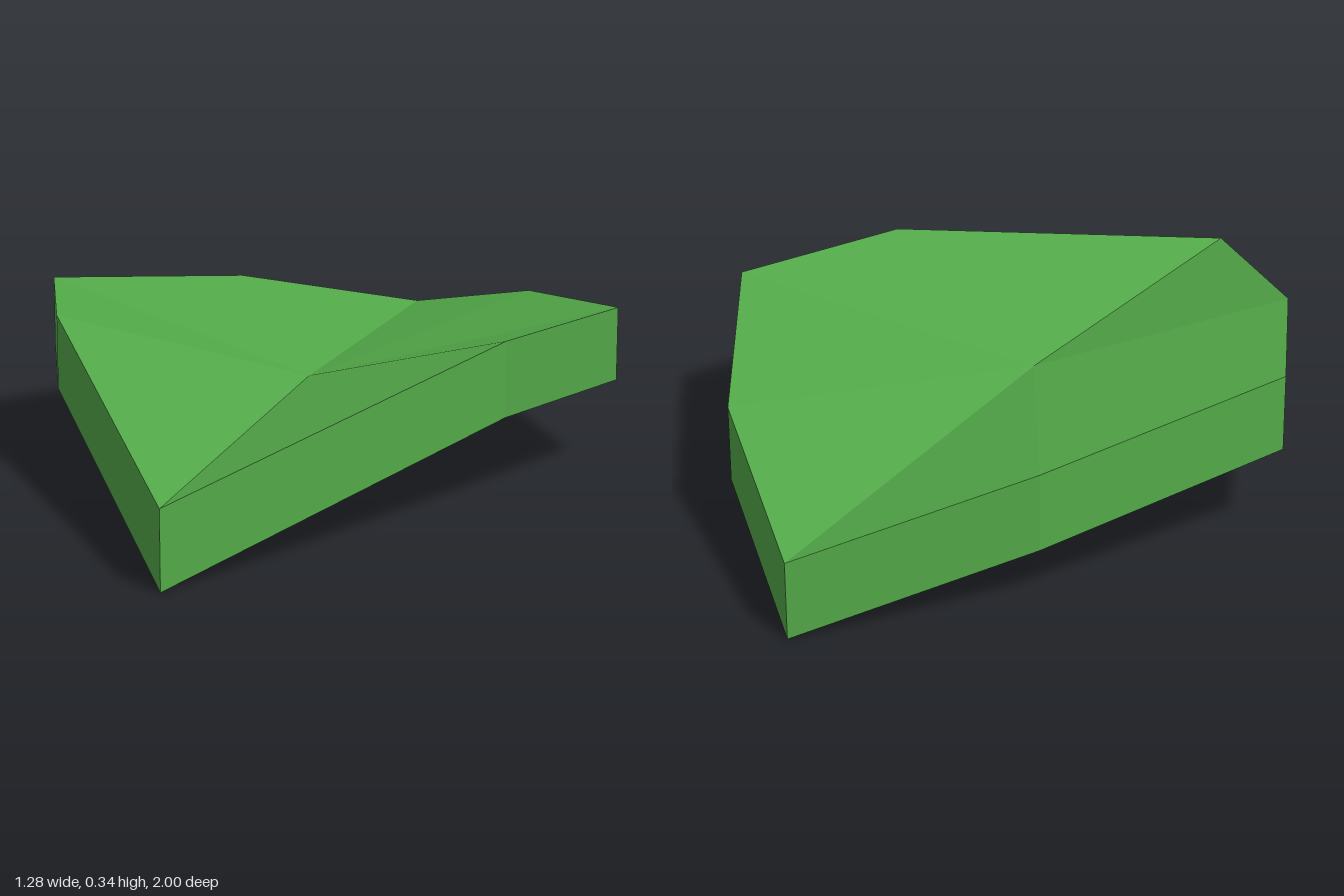
import * as THREE from 'three';

// Folded leaf: a faceted fan around a raised centre, with an even thickness.
export function createModel() {
  const group = new THREE.Group();
  group.name = 'leaf';
  const leafGreen = new THREE.MeshStandardMaterial({ color: 0x52a848, flatShading: true });
  leafGreen.name = 'leafGreen';

  // Underside outline of the left half, from front tip to back tip
  const half = [[0, 0, 1], [0.48, 0.182, 0.25], [0.64, 0.182, -0.15], [0.35, 0.11, -0.65], [0, 0, -1]];
  const mirrored = half.slice(1, -1).reverse().map(([x, y, z]) => [-x, y, z]);
  const rim = [...half, ...mirrored];
  const centre = [0, 0.027, 0];
  const thickness = 0.158;
  const raise = ([x, y, z]) => [x, y + thickness, z];

  const addPart = (name, triangles) => {
    const geometry = new THREE.BufferGeometry();
    geometry.setAttribute('position', new THREE.Float32BufferAttribute(triangles.flat(2), 3));
    geometry.computeVertexNormals();
    const mesh = new THREE.Mesh(geometry, leafGreen);
    mesh.name = name;
    group.add(mesh);
  };

  const upper = [], lower = [], edge = [];
  rim.forEach((a, i) => {
    const b = rim[(i + 1) % rim.length];
    upper.push([raise(centre), raise(a), raise(b)]);
    lower.push([centre, b, a]);
    edge.push([a, b, raise(b)], [a, raise(b), raise(a)]);
  });

  addPart('leafTop', upper);
  addPart('leafUnderside', lower);
  addPart('leafEdge', edge);
  return group;
}
